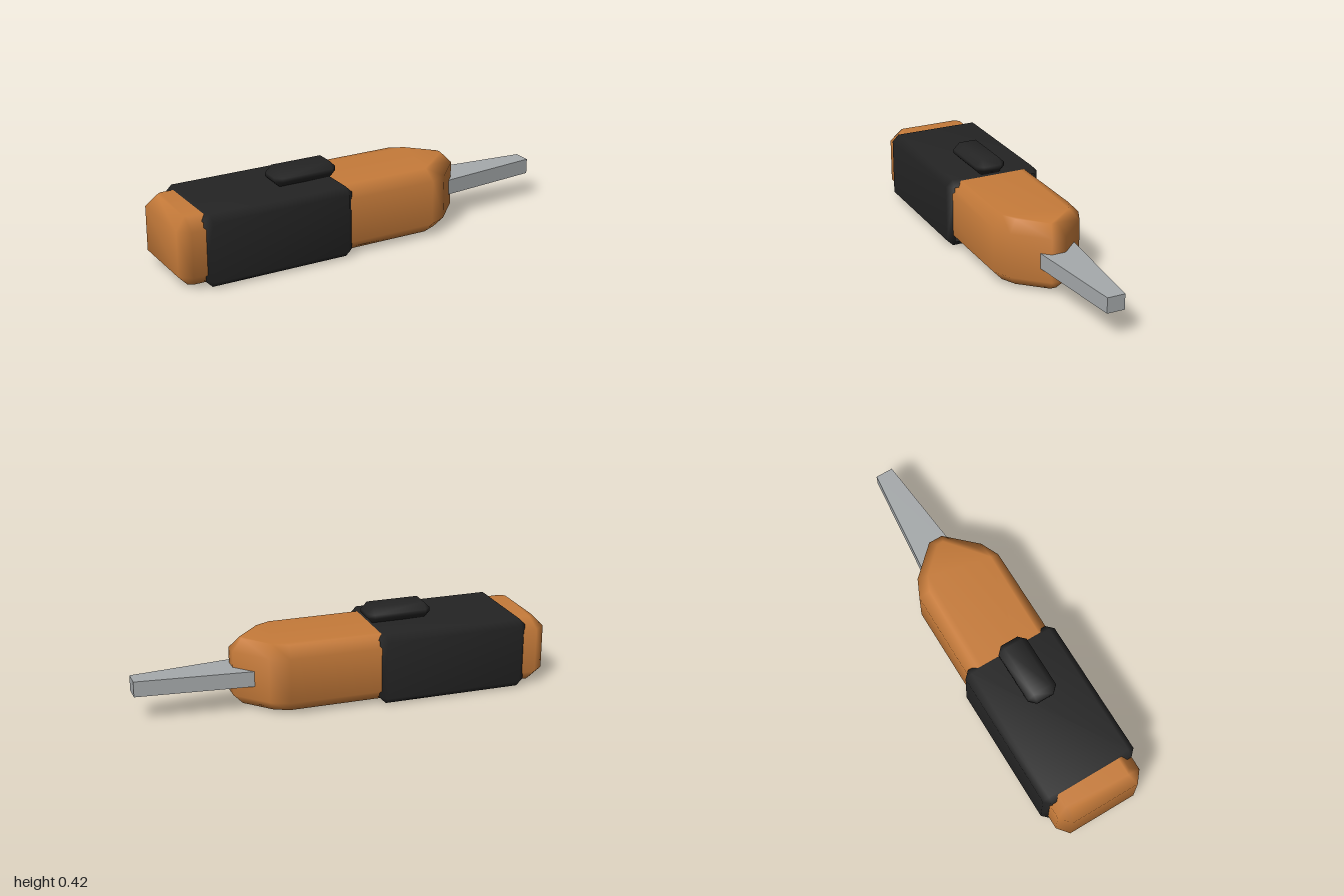
import * as THREE from 'three';
import { mergeVertices } from 'three/addons/utils/BufferGeometryUtils.js';

const orange = new THREE.MeshStandardMaterial({ color: 0xc67b3a });
const black = new THREE.MeshStandardMaterial({ color: 0x242424, side: THREE.DoubleSide });
const steel = new THREE.MeshStandardMaterial({ color: 0xa6aaac });
orange.name = 'orange casing';
black.name = 'black grip';
steel.name = 'steel blade';

// Drops the split normals so the shading runs smoothly over every edge
function smooth(geometry) {
  geometry.deleteAttribute('normal');
  geometry.deleteAttribute('uv');
  const merged = mergeVertices(geometry, 1e-4);
  merged.computeVertexNormals();
  return merged;
}

// Extrudes an outline in x and z upward from y0
function plate(points, y0, options) {
  const shape = new THREE.Shape(points.map(([x, z]) => new THREE.Vector2(x, -z)));
  const geometry = new THREE.ExtrudeGeometry(shape, options);
  geometry.rotateX(-Math.PI / 2);
  geometry.translate(0, y0, 0);
  return geometry;
}

// Box with bevelled edges, lofted along x; the end faces are optional
function bevelBox([x0, x1], [y0, y1], [z0, z1], b, capped) {
  const cy = (y0 + y1) / 2, cz = (z0 + z1) / 2;
  const h = (y1 - y0) / 2, w = (z1 - z0) / 2;
  const ring = (x, dy, dz) => {
    const octagon = [
      [w - b, h - dy], [w - dz, h - b], [w - dz, b - h], [w - b, dy - h],
      [b - w, dy - h], [dz - w, b - h], [dz - w, h - b], [b - w, h - dy],
    ];
    return octagon.map(([z, y]) => [x, cy + y, cz + z]);
  };
  const rings = [ring(x0, b, b), ring(x0 + b, 0, 0), ring(x1 - b, 0, 0), ring(x1, b, b)];
  const index = [];
  for (let i = 0; i < 3; i++) {
    for (let j = 0; j < 8; j++) {
      const a = i * 8 + j, c = i * 8 + (j + 1) % 8;
      index.push(a, c, a + 8, c, c + 8, a + 8);
    }
  }
  if (capped) {
    for (let j = 1; j < 7; j++) {
      index.push(0, j + 1, j, 24, 24 + j, 25 + j);
    }
  }
  // Keep only real triangles where bevel corners coincide
  const points = rings.flat().map((p) => new THREE.Vector3(...p));
  const triangle = new THREE.Triangle();
  const faces = [];
  for (let i = 0; i < index.length; i += 3) {
    const f = index.slice(i, i + 3);
    triangle.set(points[f[0]], points[f[1]], points[f[2]]);
    if (triangle.getArea() > 1e-7) faces.push(...f);
  }
  const geometry = new THREE.BufferGeometry().setFromPoints(points);
  geometry.setIndex(faces);
  return smooth(geometry);
}

export function createModel() {
  const model = new THREE.Group();
  model.name = 'utilityKnife';
  const add = (name, geometry, material) => {
    const mesh = new THREE.Mesh(geometry, material);
    mesh.name = name;
    model.add(mesh);
  };

  // Casing with bevelled edges and a tapered nose
  const side = [[-1, 0.175], [-0.945, 0.22], [0.3, 0.22], [0.39, 0.178], [0.525, 0.035]];
  const outline = [...side, ...side.map(([x, z]) => [x, -z]).reverse()];
  add('casing', smooth(plate(outline, 0.065, {
    depth: 0.217, bevelEnabled: true, bevelSegments: 1,
    bevelThickness: 0.054, bevelSize: 0.05, bevelOffset: -0.05,
  })), orange);

  // Open-ended sleeve around the rear, with a thumb slider on top
  add('gripSleeve', bevelBox([-0.885, -0.14], [0, 0.346], [-0.244, 0.244], 0.032, false), black);
  add('thumbSlider', bevelBox([-0.46, -0.14], [0.34, 0.422], [-0.064, 0.087], 0.031, true), black);

  // Tapered blade, its root inside the nose
  const blade = [[0.4, -0.125], [1, -0.065], [1, 0.022], [0.4, 0.083]];
  add('blade', plate(blade, 0.131, { depth: 0.075, bevelEnabled: false }), steel);

  return model;
}
